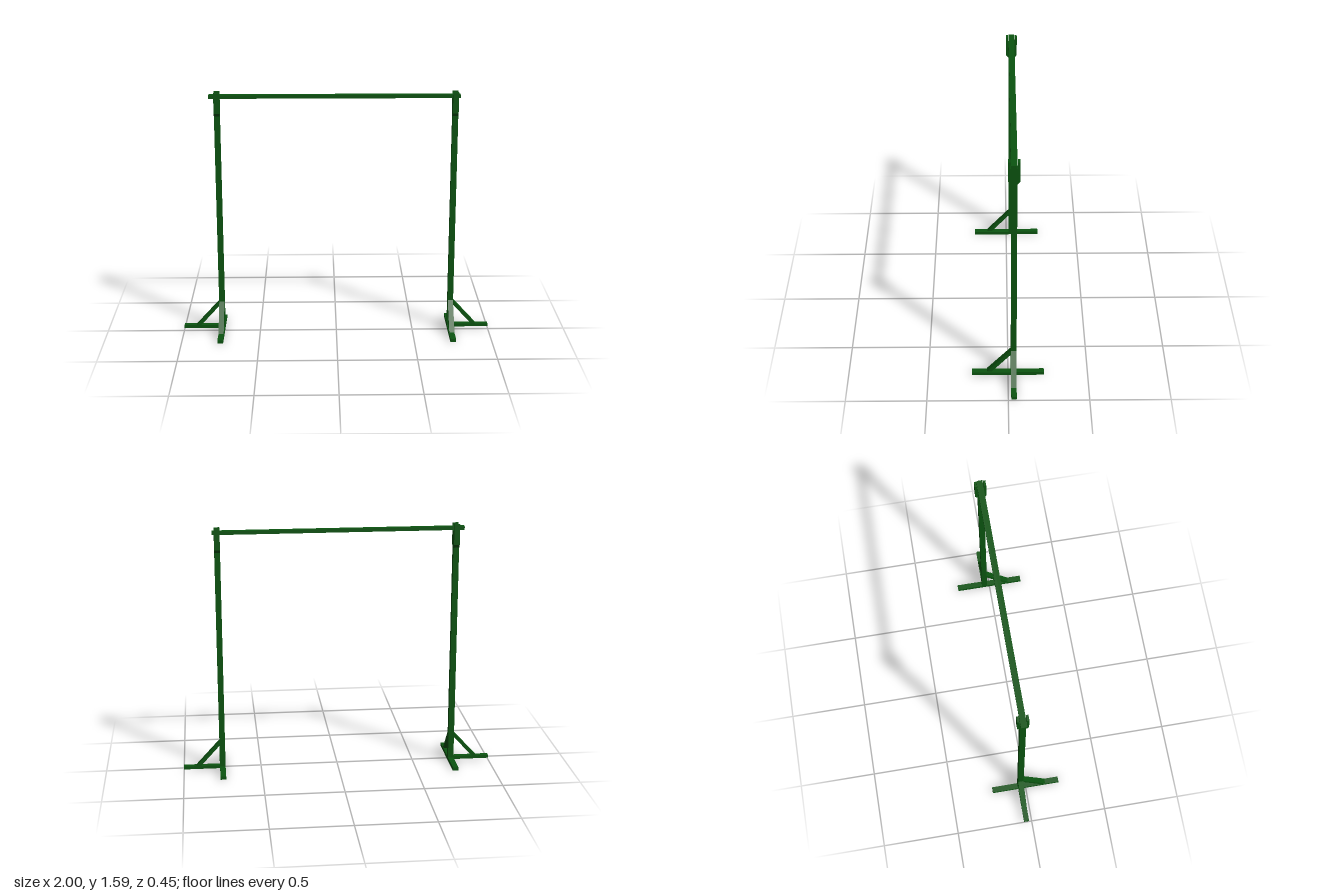
import * as THREE from 'three';

const POST_X = 0.75, POST_Z = -0.035, W = 0.036;

export function createModel() {
  const model = new THREE.Group();
  model.name = 'crossbarStand';
  const paint = new THREE.MeshStandardMaterial({ color: 0x0b5510, flatShading: true });

  const add = (parent, name, geometry, x = 0, y = 0, z = 0) => {
    const mesh = new THREE.Mesh(geometry, paint);
    mesh.name = name;
    mesh.position.set(x, y, z);
    parent.add(mesh);
    return mesh;
  };

  // Flat outline extruded symmetrically about its own plane
  const plate = (points, thickness) => {
    const shape = new THREE.Shape(points.map(([a, b]) => new THREE.Vector2(a, b)));
    return new THREE.ExtrudeGeometry(shape, { depth: thickness, bevelEnabled: false })
      .translate(0, 0, -thickness / 2);
  };

  // Diagonal strut: upright cut against the post, level cut on the foot
  const brace = (reach) => plate([
    [W / 2, 0.165], [reach - 0.03, 0.028], [reach, 0.028], [W / 2, 0.197],
  ], 0.034);

  // Forked head: tapered bottom, two prongs around the bar
  const fork = plate([
    [-0.018, 0], [0.018, 0], [0.035, 0.02], [0.035, 0.152], [0.021, 0.152],
    [0.021, 0.107], [-0.021, 0.107], [-0.021, 0.152], [-0.035, 0.152], [-0.035, 0.02],
  ], W);

  for (const side of [1, -1]) {
    const stand = new THREE.Group();
    stand.name = side > 0 ? 'leftStand' : 'rightStand';
    stand.position.set(side * POST_X, 0, POST_Z);
    model.add(stand);

    add(stand, 'post', new THREE.BoxGeometry(W, 1.43, W), 0, 0.735, 0);
    add(stand, 'forkHead', fork, 0, 1.438, 0).rotation.y = -Math.PI / 2;

    // Feet
    add(stand, 'crossFoot', new THREE.BoxGeometry(W, 0.022, 0.45), 0, 0.011, -POST_Z);
    add(stand, 'outerFoot', new THREE.BoxGeometry(0.232, 0.02, 0.034), side * 0.134, 0.02, 0);

    // Braces towards the outside and the front
    add(stand, 'outerBrace', brace(0.172)).rotation.y = side > 0 ? 0 : Math.PI;
    add(stand, 'frontBrace', brace(0.168)).rotation.y = -Math.PI / 2;
  }

  // Bar resting between the prongs
  add(model, 'crossbar', new THREE.BoxGeometry(1.58, 0.022, 0.037), -0.01, 1.563, POST_Z);
  return model;
}
